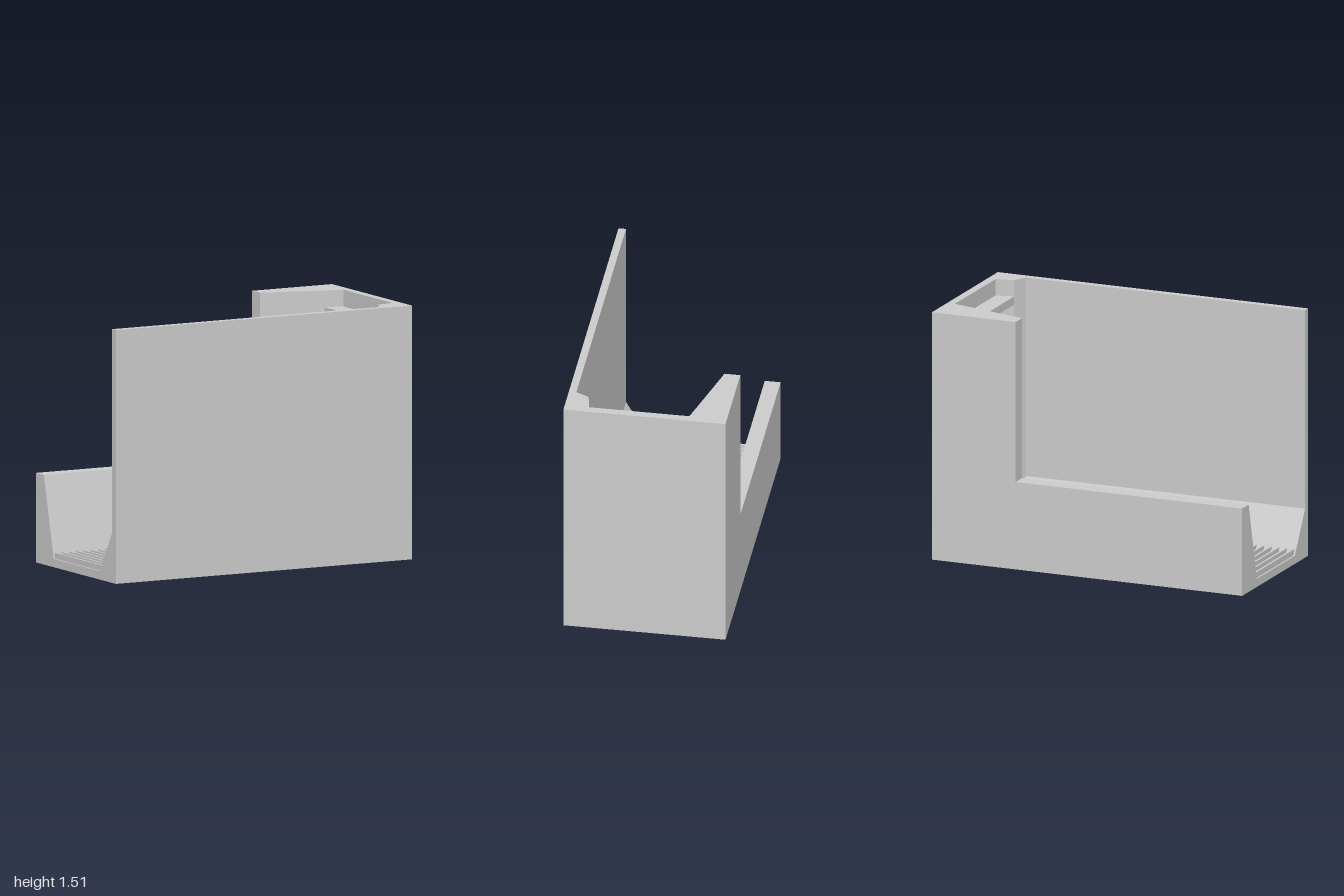
import * as THREE from 'three';

const material = new THREE.MeshStandardMaterial({ color: 0xcccccc, flatShading: true });

function addMesh(parent, name, geometry, x = 0, y = 0, z = 0) {
  const mesh = new THREE.Mesh(geometry, material);
  mesh.name = name;
  mesh.position.set(x, y, z);
  parent.add(mesh);
}

// Extrudes a flat outline; the second coordinate pair order is set by the caller.
function extrude(points, depth) {
  const shape = new THREE.Shape(points.map(([a, b]) => new THREE.Vector2(a, b)));
  return new THREE.ExtrudeGeometry(shape, { depth, bevelEnabled: false });
}

export function createModel() {
  const model = new THREE.Group();
  model.name = 'slottedTray';

  const W = 1, D = 0.485, H = 1.515; // half width, half depth, height
  const floorY = 0.05, lowY = 0.535; // floor level, low back wall
  const pocketX = 0.84, pocketBack = 0.95;

  // Trough: low back wall, sloped sides, floor and tall front wall, as [z, y]
  const section = [
    [-D, 0], [D, 0], [D, H], [0.44, H], [0.44, 0.3],
    [0.29, floorY], [-0.27, floorY], [-0.39, lowY], [-D, lowY],
  ];
  const trough = extrude(section.map(([z, y]) => [-z, y]), W + pocketX);
  trough.rotateY(Math.PI / 2);
  addMesh(model, 'trough', trough, -W);

  // Tall end wall wrapping round the corner, with a pocket, as plan [x, z]
  const plan = [
    [W, -D], [W, D], [0.8, D], [0.8, 0.44], [pocketX, 0.36], [pocketBack, 0.34],
    [pocketBack, -0.26], [pocketX, -0.29], [0.46, -0.39], [0.46, -D],
  ];
  const endWall = extrude(plan.map(([x, z]) => [x, -z]), H);
  endWall.rotateX(-Math.PI / 2);
  addMesh(model, 'endWall', endWall);

  // Floor of the pocket
  const pocketDepth = pocketBack - pocketX;
  const pocketMid = (pocketBack + pocketX) / 2;
  addMesh(model, 'pocketFloor', new THREE.BoxGeometry(pocketDepth, floorY, 0.65),
    pocketMid, floorY / 2, 0.035);

  // Horizontal slats up the pocket
  const slats = new THREE.Group();
  slats.name = 'slats';
  const slat = new THREE.BoxGeometry(pocketDepth, 0.05, 0.65);
  for (let i = 0; i < 11; i++) {
    addMesh(slats, 'slat', slat, pocketMid, 0.14 + i * 0.125, 0.035);
  }
  model.add(slats);

  // Thin ribs across the floor
  const ribs = new THREE.Group();
  ribs.name = 'floorRibs';
  const rib = new THREE.BoxGeometry(0.013, 0.035, 0.588);
  for (let i = 0; i < 38; i++) {
    addMesh(ribs, 'floorRib', rib, -0.984 + i * 0.0489, floorY + 0.0175, 0.016);
  }
  model.add(ribs);

  return model;
}
